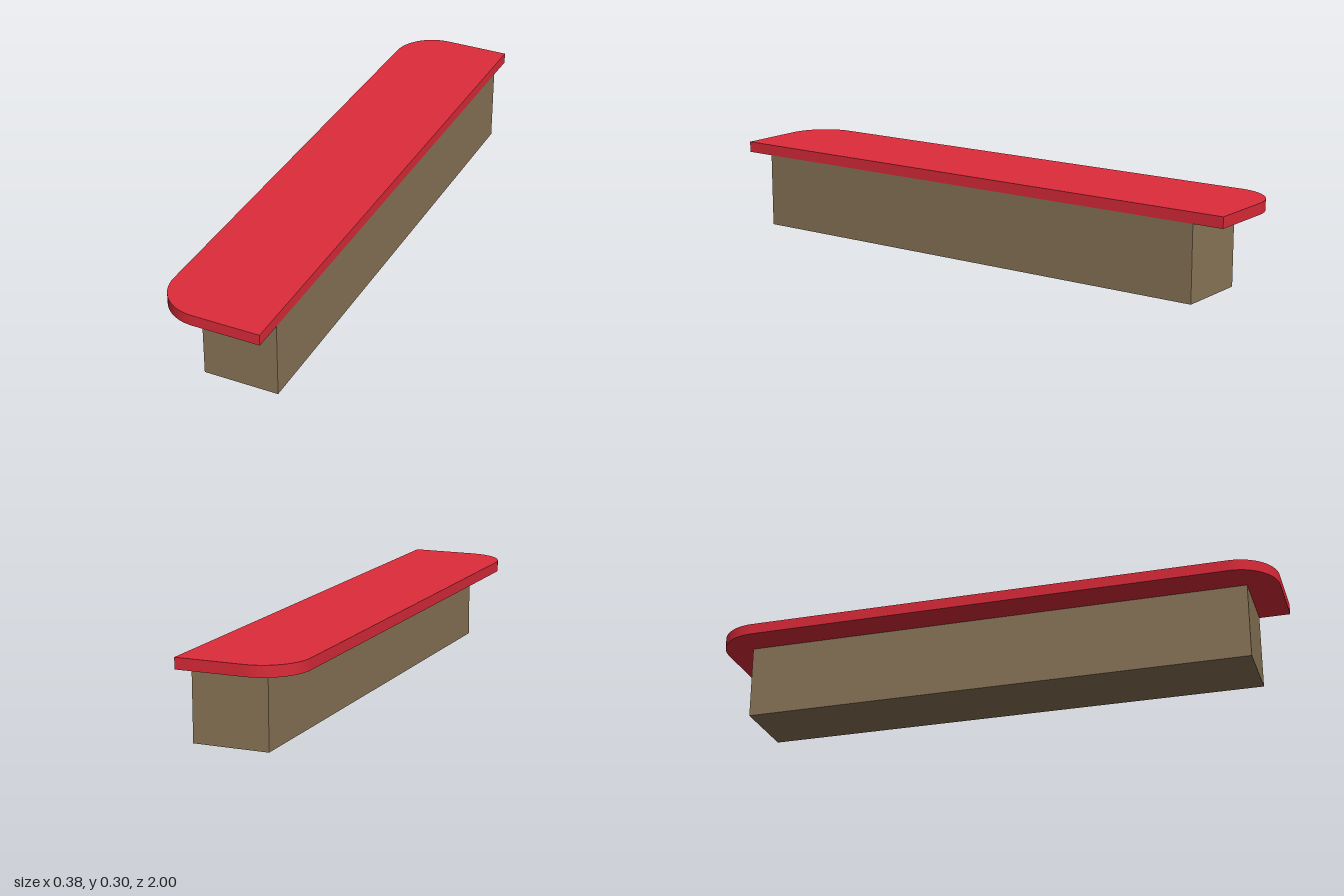
import * as THREE from 'three';

const X0 = -0.191, X1 = 0.191;   // slab edges: rounded side and straight side
const BASE_H = 0.26, SLAB_H = 0.038;
const R = 0.15;                  // corner radius

export function createModel() {
  const group = new THREE.Group();

  // Base block, flush with the slab's straight side
  const baseX0 = -0.07;
  const base = new THREE.Mesh(
    new THREE.BoxGeometry(X1 - baseX0, BASE_H, 1.786),
    new THREE.MeshStandardMaterial({ color: 0x8b7658 })
  );
  base.name = 'base';
  base.position.set((X1 + baseX0) / 2, BASE_H / 2, 0);
  group.add(base);

  // Top slab with two rounded corners on the overhanging side
  const outline = new THREE.Shape();
  outline.moveTo(X1, -1);
  outline.lineTo(X1, 1);
  outline.lineTo(X0 + R, 1);
  outline.absarc(X0 + R, 1 - R, R, Math.PI / 2, Math.PI, false);
  outline.lineTo(X0, -1 + R);
  outline.absarc(X0 + R, -1 + R, R, Math.PI, Math.PI * 1.5, false);
  outline.closePath();
  const slabGeometry = new THREE.ExtrudeGeometry(outline, {
    depth: SLAB_H, bevelEnabled: false, curveSegments: 12,
  });
  slabGeometry.rotateX(-Math.PI / 2);
  const slab = new THREE.Mesh(
    slabGeometry,
    new THREE.MeshStandardMaterial({ color: 0xdd2b39 })
  );
  slab.name = 'topSlab';
  slab.position.y = BASE_H;
  group.add(slab);

  return group;
}
